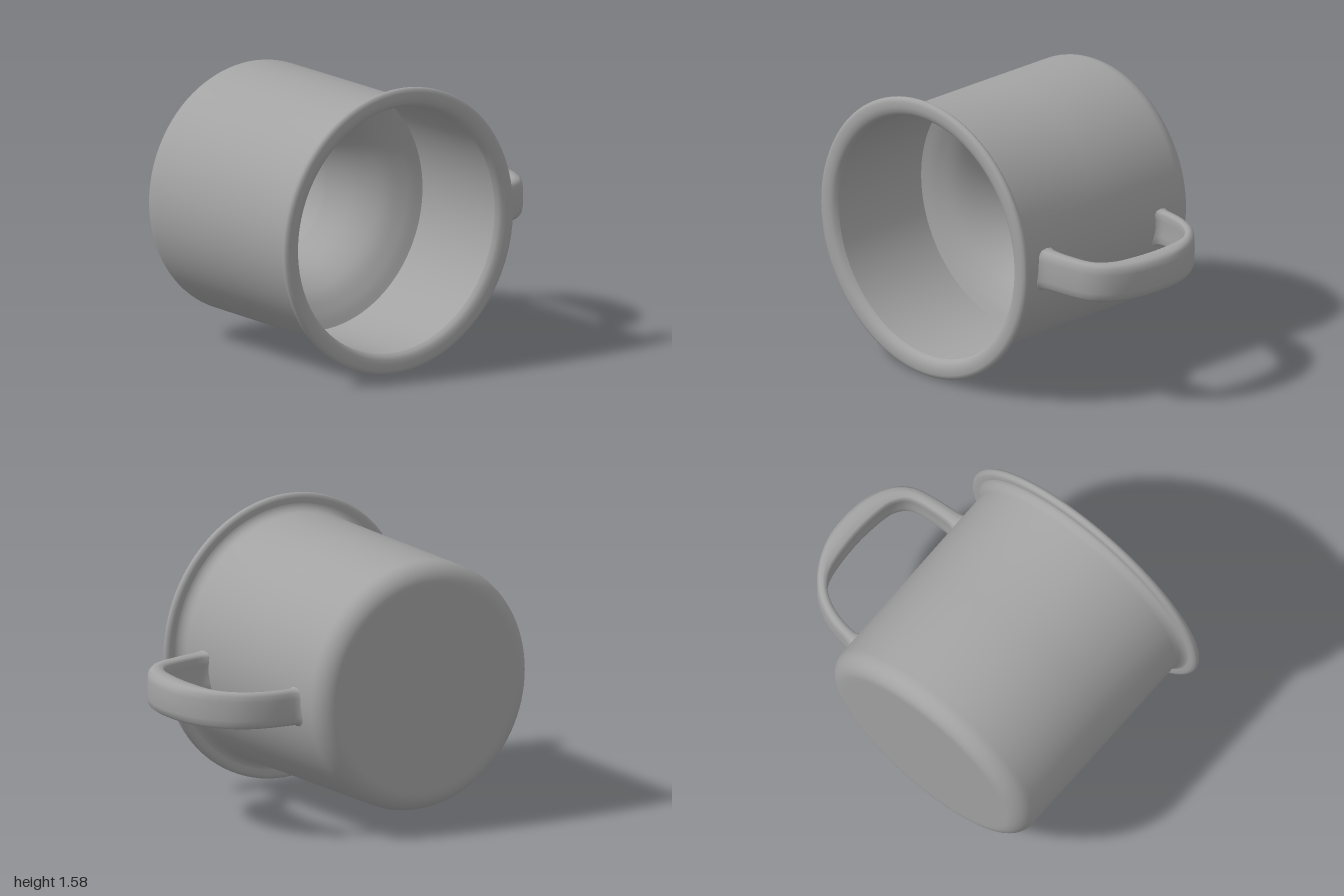
import * as THREE from 'three';
import { toCreasedNormals } from 'three/addons/utils/BufferGeometryUtils.js';

const CENTER_X = -0.21, CENTER_Y = 0.795;

export function createModel() {
  const model = new THREE.Group();
  model.name = 'mug';
  const enamel = new THREE.MeshStandardMaterial({ color: 0xa3a3a3, side: THREE.DoubleSide });
  enamel.name = 'grey enamel';

  // Turns a profile of [radius, z] points around the mug's horizontal axis
  function turned(name, profile) {
    const points = profile.map(([r, z]) => new THREE.Vector2(r, z));
    const lathe = new THREE.LatheGeometry(points, 96).rotateX(Math.PI / 2);
    const mesh = new THREE.Mesh(toCreasedNormals(lathe, 0.7), enamel);
    mesh.name = name;
    mesh.position.set(CENTER_X, CENTER_Y, 0);
    model.add(mesh);
  }

  // Samples a smooth curve through [a, b] points
  function smooth(points, count) {
    return new THREE.SplineCurve(points.map(([a, b]) => new THREE.Vector2(a, b))).getPoints(count);
  }

  // Outer shell: flat base, rounded base edge, straight wall, small flare under the rim
  const baseEdge = [];
  for (let i = 0; i <= 10; i++) {
    const a = (i / 10) * Math.PI / 2;
    baseEdge.push([0.58 + 0.11 * Math.sin(a), -0.58 - 0.11 * Math.cos(a)]);
  }
  turned('outerShell', [
    [0, -0.69], [0.3, -0.69], [0.55, -0.69], ...baseEdge, [0.693, 0], [0.695, 0.59],
    [0.701, 0.615], [0.715, 0.635], [0.735, 0.646], [0.77, 0.647],
  ]);

  // Rolled rim
  turned('rim', [
    [0.735, 0.646], [0.765, 0.645], [0.782, 0.65], [0.79, 0.662], [0.79, 0.674],
    [0.782, 0.685], [0.765, 0.69], [0.735, 0.69], [0.71, 0.685], [0.692, 0.672], [0.682, 0.65],
  ]);

  // Inside wall, bulging inner funnel and recessed floor
  turned('innerWall', [[0.682, 0.65], [0.68, 0.4], [0.68, 0.03]]);
  const funnel = smooth([[0.68, 0.03], [0.6, -0.01], [0.5, -0.09], [0.42, -0.23], [0.365, -0.43]], 24);
  turned('innerFunnel', [...funnel.map((p) => [p.x, p.y]), [0.37, -0.55], [0.38, -0.66]]);
  turned('innerFloor', [[0.38, -0.66], [0.2, -0.66], [0, -0.66]]);

  // Handle: a strap lofted between its outer and inner outlines, given as [x, z]
  const STEPS = 48;
  const outer = smooth([
    [0.47, -0.5], [0.51, -0.475], [0.66, -0.445], [0.8, -0.375], [0.91, -0.25], [0.975, -0.1],
    [0.992, 0.05], [0.97, 0.22], [0.9, 0.36], [0.8, 0.435], [0.66, 0.465], [0.52, 0.48], [0.47, 0.5],
  ], STEPS);
  const inner = smooth([
    [0.47, -0.38], [0.51, -0.408], [0.62, -0.395], [0.72, -0.36], [0.8, -0.3], [0.85, -0.2],
    [0.868, 0.02], [0.85, 0.22], [0.82, 0.31], [0.76, 0.365], [0.65, 0.385], [0.53, 0.39], [0.47, 0.37],
  ], STEPS);
  // Section as [share of thickness, share of half height], slightly hollow on the inside
  const section = [
    [1, 0], [0.99, 0.5], [0.93, 0.8], [0.75, 0.96], [0.45, 1], [0.15, 0.95], [0.01, 0.8], [0.04, 0.45],
    [0.07, 0], [0.04, -0.45], [0.01, -0.8], [0.15, -0.95], [0.45, -1], [0.75, -0.96], [0.93, -0.8], [0.99, -0.5],
  ];
  const positions = [], indices = [], n = section.length;
  for (let i = 0; i <= STEPS; i++) {
    const t = i / STEPS;
    const flare = 0.012 * Math.pow(Math.abs(2 * t - 1), 16);
    const half = 0.1 + 0.012 * t + flare;
    for (const [u, v] of section) {
      const p = inner[i].clone().lerp(outer[i], u);
      positions.push(p.x, 0.748 + v * half, p.y);
    }
    if (i === STEPS) continue;
    for (let j = 0; j < n; j++) {
      const a = i * n + j, b = i * n + (j + 1) % n;
      indices.push(a, b, a + n, b, b + n, a + n);
    }
  }
  const strap = new THREE.BufferGeometry();
  strap.setAttribute('position', new THREE.Float32BufferAttribute(positions, 3));
  strap.setIndex(indices);
  strap.computeVertexNormals();
  const handle = new THREE.Mesh(strap, enamel);
  handle.name = 'handle';
  model.add(handle);

  return model;
}
